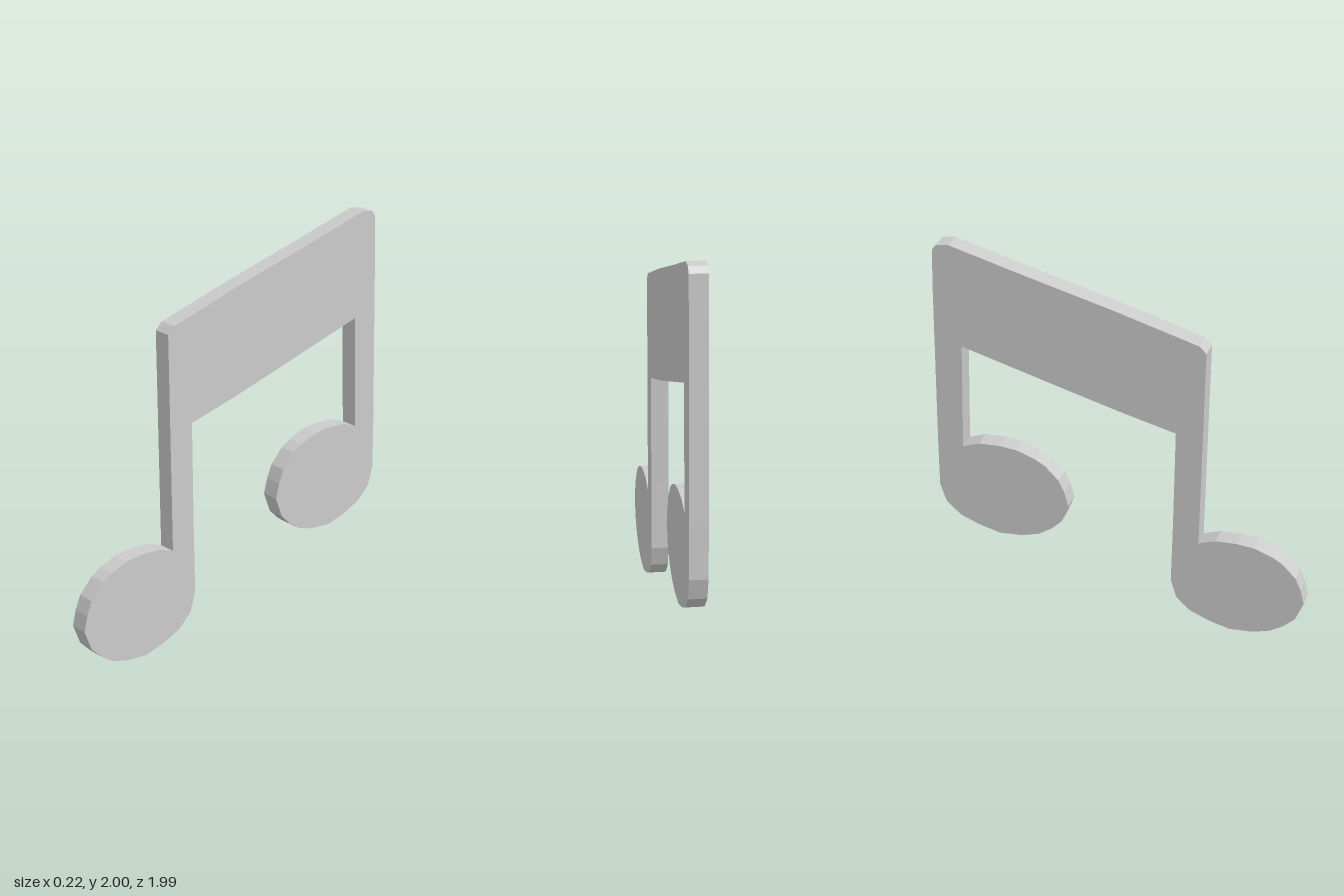
import * as THREE from 'three';

const THICKNESS = 0.09;
const TILT = 0.068; // slight turn about the vertical axis

// Note head, clockwise from the stem's outer edge round to the inner notch
const HEAD = [
  [-0.289, 0.245], [-0.32, 0.14], [-0.395, 0.07], [-0.496, 0.03], [-0.613, 0.003],
  [-0.74, 0.02], [-0.83, 0.053], [-0.9, 0.105], [-0.955, 0.165], [-0.995, 0.275],
  [-0.975, 0.355], [-0.945, 0.425], [-0.873, 0.5], [-0.82, 0.53], [-0.724, 0.562],
  [-0.634, 0.568], [-0.52, 0.557], [-0.432, 0.52],
];

export function createModel() {
  const backHead = HEAD.map(([u, v]) => [(u + 0.289) * 1.02 + 0.99, v + 0.307]);

  const outline = [
    // sloping beam top with clipped corners
    [-0.443, 1.655], [-0.406, 1.69], [0.02, 1.8], [0.47, 1.905], [0.86, 2],
    [0.925, 1.99], [0.947, 1.96], [0.957, 1.74],
    // back stem and head
    [0.985, 0.81], ...backHead,
    // beam underside
    [0.82, 1.437], [0.374, 1.325], [0, 1.233], [-0.3, 1.167],
    // front stem and head
    [-0.295, 0.6], ...HEAD,
  ];

  const shape = new THREE.Shape(outline.map(([u, v]) => new THREE.Vector2(u, v)));
  const geometry = new THREE.ExtrudeGeometry(shape, { depth: THICKNESS, bevelEnabled: false });
  geometry.translate(0, 0, -THICKNESS / 2);
  geometry.rotateY(Math.PI / 2 - TILT);

  const note = new THREE.Mesh(
    geometry,
    new THREE.MeshStandardMaterial({ color: 0xcccccc, flatShading: true })
  );
  note.name = 'beamedNotes';

  const group = new THREE.Group();
  group.name = 'musicNote';
  group.add(note);
  return group;
}
